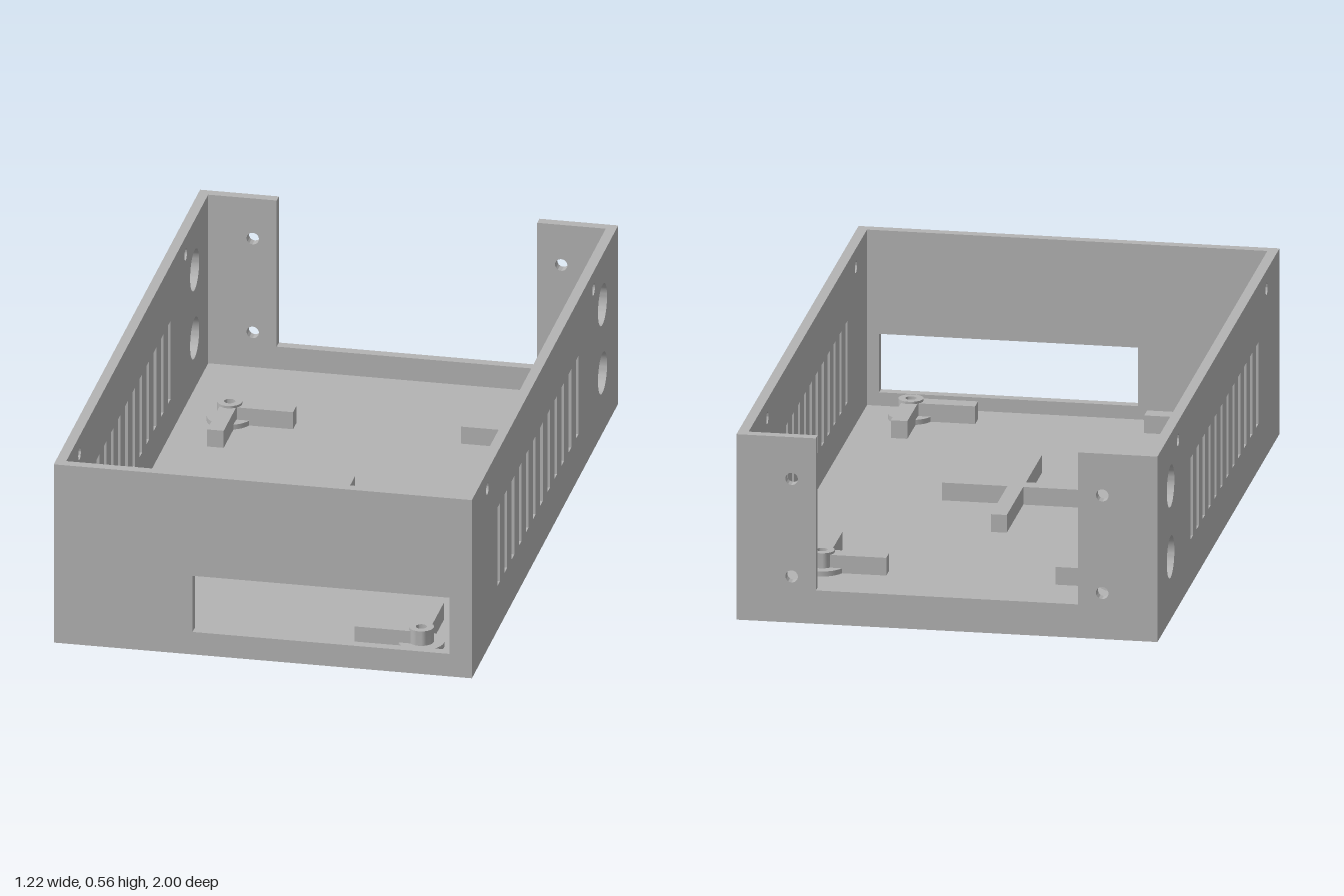
import * as THREE from 'three';
import { toCreasedNormals } from 'three/addons/utils/BufferGeometryUtils.js';

const W = 0.61, L = 1, H = 0.555, T = 0.03; // half width, half length, height, wall thickness
const IN = W - T;

export function createModel() {
  const grey = new THREE.MeshStandardMaterial({ color: 0xb3b3b3 });
  grey.name = 'grey plastic';
  const root = new THREE.Group();
  root.name = 'enclosureBase';

  const add = (parent, name, geo, x = 0, y = 0, z = 0) => {
    const m = new THREE.Mesh(geo, grey);
    m.name = name;
    m.position.set(x, y, z);
    parent.add(m);
    return m;
  };
  const block = (parent, name, x0, x1, y0, y1, z0, z1) =>
    add(parent, name, new THREE.BoxGeometry(x1 - x0, y1 - y0, z1 - z0),
      (x0 + x1) / 2, (y0 + y1) / 2, (z0 + z1) / 2);

  const poly = pts => new THREE.Shape(pts.map(p => new THREE.Vector2(p[0], p[1])));
  const rect = (x0, x1, y0, y1) => poly([[x0, y0], [x1, y0], [x1, y1], [x0, y1]]);
  const round = (x, y, r) => new THREE.Path().absarc(x, y, r, 0, Math.PI * 2, true);
  const panel = (shape, holes) => {
    shape.holes.push(...holes);
    const g = new THREE.ExtrudeGeometry(shape, { depth: T, bevelEnabled: false, curveSegments: 24 });
    return toCreasedNormals(g, 0.6);
  };

  // Floor
  block(root, 'floor', -IN, IN, 0, T, -L + T, L - T);

  // Side walls: vent slots, screw holes and two large cable holes
  const sideHoles = [
    round(0.788, 0.5, 0.018), round(-0.663, 0.5, 0.018),
    round(-0.785, 0.4, 0.062), round(-0.785, 0.188, 0.062),
  ];
  for (let i = 0; i < 12; i++) {
    const z = 0.633 - i * 0.0973;
    sideHoles.push(rect(z - 0.018, z + 0.018, 0.138, 0.382));
  }
  const side = panel(rect(-L, L, 0, H), sideHoles).rotateY(-Math.PI / 2);
  add(root, 'leftWall', side, W);
  add(root, 'rightWall', side, -IN);

  // Front wall with wide opening
  add(root, 'frontWall', panel(rect(-IN, IN, 0, H), [rect(-0.205, 0.545, 0.07, 0.245)]), 0, 0, L - T);

  // Back wall: low sill between two drilled uprights
  const back = poly([[-IN, 0], [IN, 0], [IN, H], [0.38, H], [0.38, 0.1], [-0.38, 0.1], [-0.38, H], [-IN, H]]);
  const backHoles = [];
  for (const x of [-0.45, 0.45]) for (const y of [0.138, 0.43]) backHoles.push(round(x, y, 0.018));
  add(root, 'backWall', panel(back, backHoles), 0, 0, -L);

  // Standoffs: flanged post with blind hole and two bracing arms
  const profile = [[0.066, T], [0.066, 0.045], [0.036, 0.045], [0.036, 0.09],
    [0.016, 0.09], [0.016, 0.032], [0, 0.032]].map(p => new THREE.Vector2(p[0], p[1]));
  const post = toCreasedNormals(new THREE.LatheGeometry(profile, 32), 0.6);
  for (const sx of [-1, 1]) {
    for (const [z, dz] of [[-0.585, 1], [0.87, -1]]) {
      const standoff = new THREE.Group();
      standoff.name = 'standoff';
      standoff.position.set(sx * 0.435, 0, z);
      add(standoff, 'post', post);
      const arm = [0.025, 0.19].map(v => -sx * v).sort((a, b) => a - b);
      block(standoff, 'sideArm', arm[0], arm[1], T, 0.083, -0.024, 0.024);
      const leg = [0.025, 0.195].map(v => dz * v).sort((a, b) => a - b);
      block(standoff, 'lengthArm', -0.024, 0.024, T, 0.083, leg[0], leg[1]);
      root.add(standoff);
    }
  }

  // Central support cross
  const cross = poly([[-0.023, -0.43], [0.023, -0.43], [0.023, -0.165], [0.213, -0.165], [0.213, -0.12],
    [0.023, -0.12], [0.023, 0.15], [-0.023, 0.15], [-0.023, -0.12], [-0.213, -0.12], [-0.213, -0.165], [-0.023, -0.165]]);
  const crossGeo = new THREE.ExtrudeGeometry(cross, { depth: 0.083 - T, bevelEnabled: false });
  add(root, 'supportCross', crossGeo.rotateX(-Math.PI / 2), 0, T, 0);

  return root;
}
